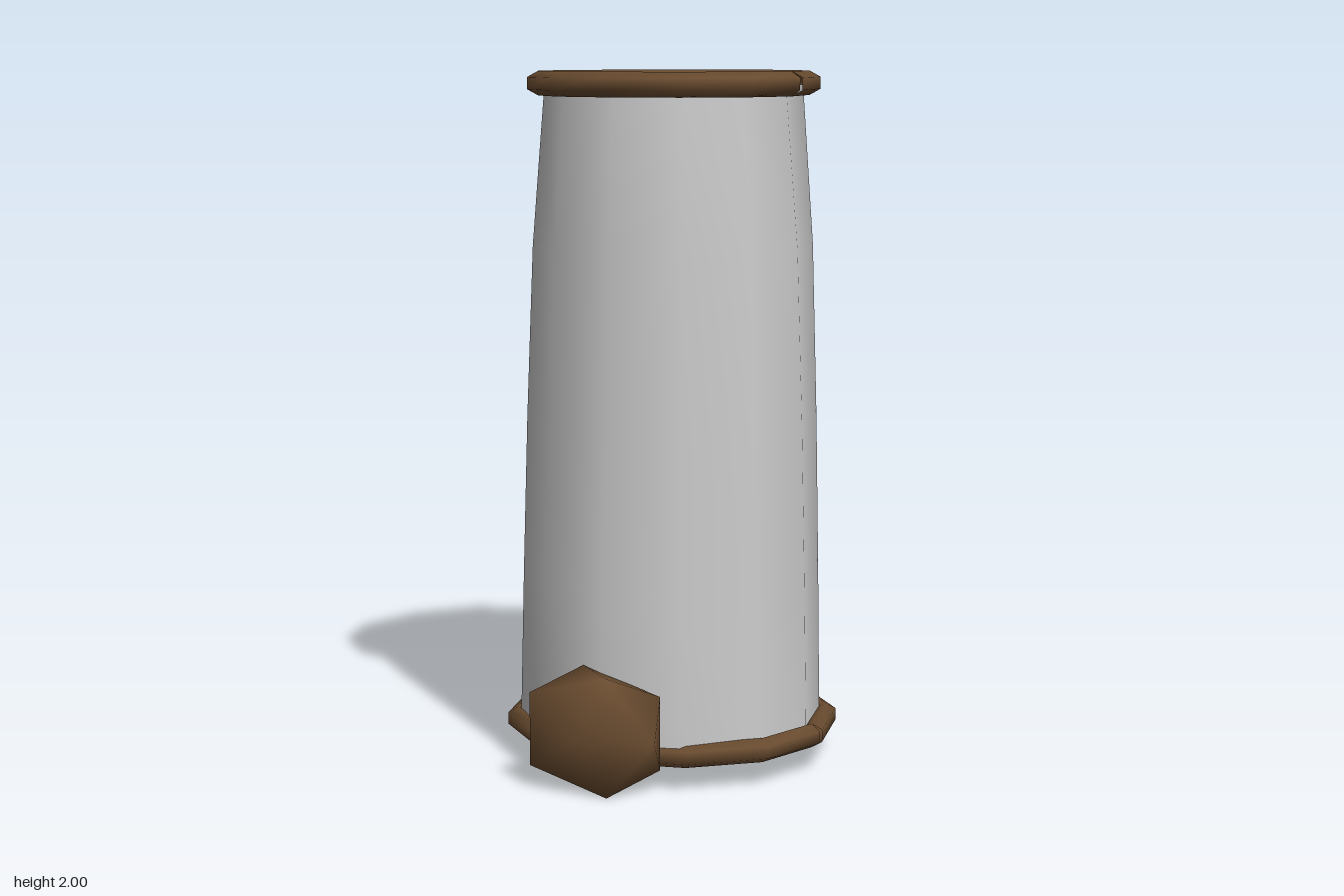
import * as THREE from 'three';
import { mergeVertices } from 'three/addons/utils/BufferGeometryUtils.js';

const SIDES = 12;
const SEAM_Z = -0.04; // widest line, where front and back halves meet

// Point on an oval whose front and back halves have different depths
function ovalPoint(angle, rx, front, back, y) {
  const c = Math.cos(angle);
  return new THREE.Vector3(rx * Math.sin(angle), y, SEAM_Z + (c > 0 ? front : back) * c);
}

// Smooth skin over rows of points; every row is a closed loop
function loft(rows) {
  const n = rows[0].length;
  const index = [];
  for (let i = 0; i < rows.length - 1; i++) {
    for (let j = 0; j < n; j++) {
      const k = (j + 1) % n;
      const a = i * n + j, b = i * n + k, c = a + n, d = b + n;
      index.push(a, b, c, b, d, c);
    }
  }
  const geometry = new THREE.BufferGeometry().setFromPoints(rows.flat());
  geometry.setIndex(index);
  geometry.computeVertexNormals();
  return geometry;
}

// Hexagonal cord running once round the oval, with open ends at the seam
function cordGeometry(rx, front, back, y) {
  const path = [];
  for (let i = 0; i <= SIDES; i++) {
    path.push(ovalPoint(Math.PI / 2 + (i / SIDES) * Math.PI * 2, rx, front, back, y));
  }
  const up = new THREE.Vector3(0, 1, 0);
  const rows = path.map((p, i) => {
    const before = path[Math.max(i - 1, 0)];
    const after = path[Math.min(i + 1, SIDES)];
    const tangent = after.clone().sub(before).normalize();
    const out = tangent.cross(up);
    const row = [];
    for (let j = 0; j < 6; j++) {
      const t = Math.PI / 6 + (j * Math.PI) / 3;
      row.push(p.clone()
        .addScaledVector(out, 0.036 * Math.cos(t))
        .addScaledVector(up, -0.035 * Math.sin(t)));
    }
    return row;
  });
  // make sure the skin faces outwards
  return loft(rows.map((row) => (out0(rows) ? row : row.slice().reverse())));
}

// True when the first corner of the section lies on the outer side of the path
function out0(rows) {
  return rows[0][0].x > rows[0][2].x;
}

// Twelve-sided stone: two staggered rings of five between a front and a back tip
function stoneGeometry() {
  let geometry = new THREE.IcosahedronGeometry(1, 0);
  geometry.deleteAttribute('normal');
  geometry.deleteAttribute('uv');
  geometry = mergeVertices(geometry, 1e-3);
  // turn one corner to +z, then a neighbouring corner towards +x
  const p = geometry.attributes.position;
  const corners = [];
  for (let i = 0; i < p.count; i++) corners.push(new THREE.Vector3().fromBufferAttribute(p, i));
  const tip = corners[0];
  const neighbour = corners.find((v) => v !== tip && v.dot(tip) > 0.4);
  const x = neighbour.clone().addScaledVector(tip, -neighbour.dot(tip)).normalize();
  const basis = new THREE.Matrix4().makeBasis(x, tip.clone().cross(x), tip);
  geometry.applyMatrix4(basis.transpose());
  geometry.scale(0.243, 0.2, 0.13);
  geometry.computeVertexNormals();
  return geometry;
}

export function createModel() {
  const group = new THREE.Group();
  const grey = new THREE.MeshStandardMaterial({ color: 0xcccccc, side: THREE.DoubleSide });
  const brown = new THREE.MeshStandardMaterial({ color: 0x6a4c30, side: THREE.DoubleSide });

  const add = (name, geometry, material) => {
    const mesh = new THREE.Mesh(geometry, material);
    mesh.name = name;
    group.add(mesh);
    return mesh;
  };

  // Open tapering sleeve: height, half width, front depth, back depth
  const levels = [
    [0.10, 0.440, 0.440, 0.465],
    [0.55, 0.431, 0.422, 0.466],
    [1.00, 0.420, 0.402, 0.466],
    [1.50, 0.402, 0.378, 0.465],
    [1.96, 0.363, 0.350, 0.460],
  ];
  const rows = levels.map(([y, rx, front, back]) => {
    const row = [];
    for (let j = 0; j < SIDES; j++) {
      row.push(ovalPoint((j / SIDES) * Math.PI * 2, rx, front, back, y));
    }
    return row;
  });
  add('sleeve', loft(rows), grey);

  // Cords round both openings
  add('upperCord', cordGeometry(0.38, 0.37, 0.486, 1.965), brown);
  add('lowerCord', cordGeometry(0.457, 0.415, 0.484, 0.1), brown);

  // Stone at the front of the lower cord
  add('stone', stoneGeometry(), brown).position.set(0, 0.17, 0.43);

  return group;
}
